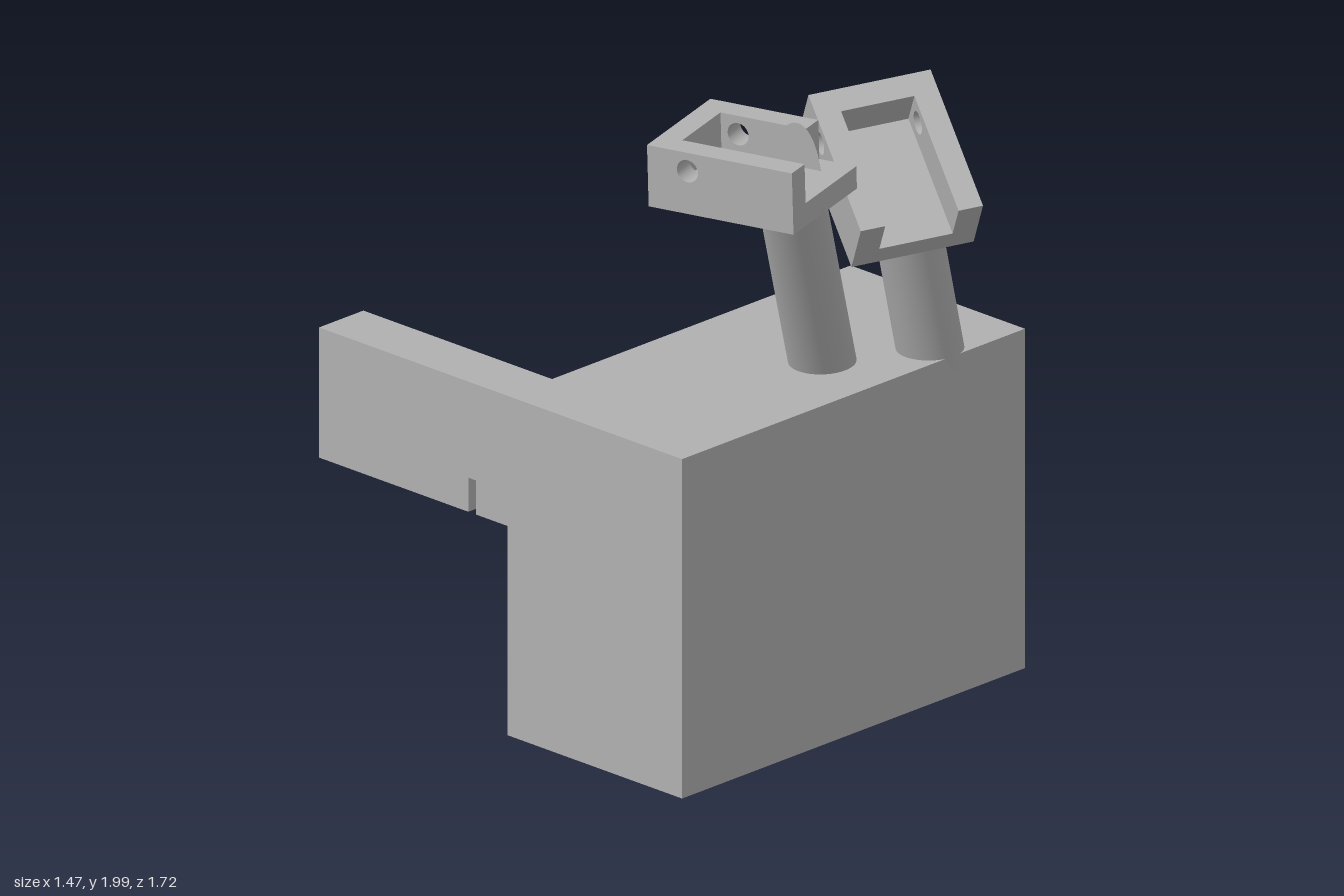
import * as THREE from 'three';

const V = (x, y, z) => new THREE.Vector3(x, y, z);
const CLAMP = { w: 0.39, h: 0.2, d: 0.497, wall: 0.078, floor: 0.073 };

export function createModel() {
  const grey = new THREE.MeshStandardMaterial({ color: 0xb0b0b0 });
  grey.name = 'plainGrey';
  const model = new THREE.Group();

  const add = (parent, name, geometry, x = 0, y = 0, z = 0) => {
    const mesh = new THREE.Mesh(geometry, grey);
    mesh.name = name;
    mesh.position.set(x, y, z);
    parent.add(mesh);
    return mesh;
  };
  // Box given by its lowest corner and its size
  const box = (parent, name, [x, y, z], [w, h, d]) =>
    add(parent, name, new THREE.BoxGeometry(w, h, d), x + w / 2, y + h / 2, z + d / 2);
  // Side profile in (z, y), extruded along x from 0 to thickness
  const sidePlate = (points, thickness, hole) => {
    const shape = new THREE.Shape(points.map(([z, y]) => new THREE.Vector2(z, y)));
    if (hole) shape.holes.push(new THREE.Path().absarc(hole[0], hole[1], hole[2], 0, Math.PI * 2, true));
    return new THREE.ExtrudeGeometry(shape, { depth: thickness, bevelEnabled: false, curveSegments: 24 })
      .rotateY(-Math.PI / 2).translate(thickness, 0, 0);
  };

  // Main block and the slotted arm behind it
  box(model, 'mainBlock', [-0.735, 0, -0.075], [1.47, 1.095, 0.73]);
  add(model, 'rearArm', sidePlate([
    [-0.865, 0.675], [-0.24, 0.675], [-0.24, 0.785], [-0.207, 0.785],
    [-0.207, 0.675], [-0.075, 0.675], [-0.075, 1.095], [-0.865, 1.095],
  ], 0.19), -0.735);

  // U-shaped clamp: corner is its bottom back corner, across and along are its edges
  const clamp = (name, corner, across, along, rightWallLength) => {
    const { w, h, d, wall, floor } = CLAMP;
    const zAxis = along.clone().normalize();
    const yAxis = zAxis.clone().cross(across).normalize();
    const xAxis = yAxis.clone().cross(zAxis);
    const group = new THREE.Group();
    group.name = name;
    group.quaternion.setFromRotationMatrix(new THREE.Matrix4().makeBasis(xAxis, yAxis, zAxis));
    group.position.copy(corner);
    const hole = [0.137, 0.14, 0.036];
    const full = [[0, 0], [d, 0], [d, h], [0, h]];
    const stepped = [[0, 0], [d, 0], [d, floor], [rightWallLength, floor], [rightWallLength, h], [0, h]];
    add(group, 'holedWall', sidePlate(full, wall, hole));
    add(group, 'holedWall', sidePlate(rightWallLength < d ? stepped : full, wall, hole), w - wall);
    box(group, 'clampFloor', [wall, 0, 0], [w - 2 * wall, floor, d]);
    box(group, 'clampBack', [wall, floor, 0], [w - 2 * wall, h - floor, wall]);
    model.add(group);
    // Planes through the middle of the floor and along the inner face of the right wall
    const at = (axis, dist) =>
      new THREE.Plane().setFromNormalAndCoplanarPoint(axis, corner.clone().addScaledVector(axis, dist));
    return { floorPlane: at(yAxis, floor / 2), wallPlane: at(xAxis, w - wall - 0.001) };
  };

  // Round post whose top is trimmed by the floor plane, and by a wall plane if given
  const post = (name, base, direction, floorPlane, wallPlane) => {
    const geometry = new THREE.CylinderGeometry(0.102, 0.102, 1, 64, 1, true).translate(0, 0.5, 0);
    const mesh = add(model, name, geometry, base.x, base.y, base.z);
    mesh.quaternion.setFromUnitVectors(V(0, 1, 0), direction.clone().normalize());
    mesh.updateMatrix();
    const inverse = mesh.matrix.clone().invert();
    const local = (plane) => plane && plane.clone().applyMatrix4(inverse);
    const [low, high] = [local(floorPlane), local(wallPlane)];
    const heightOn = (p, x, z) => -(p.constant + p.normal.x * x + p.normal.z * z) / p.normal.y;
    const pos = geometry.attributes.position;
    const rim = [];
    for (let i = 0; i < pos.count; i++) {
      const x = pos.getX(i), z = pos.getZ(i);
      if (pos.getY(i) < 0.5) {
        pos.setY(i, -0.1);
        continue;
      }
      const yLow = heightOn(low, x, z);
      const yHigh = high ? heightOn(high, x, z) : -1;
      pos.setY(i, Math.max(yLow, yHigh));
      if (yHigh > yLow) rim.push(V(x, yHigh, z));
    }
    if (rim.length < 3) return;
    // Flat cut face of the tongue left beside the pocket
    rim.sort((a, b) => a.clone().sub(b).dot(V(0, 0, 1).applyQuaternion(mesh.quaternion.clone().invert())));
    const inward = high.normal.clone().negate();
    const points = [];
    for (let i = 1; i < rim.length - 1; i++) {
      const tri = [rim[0], rim[i], rim[i + 1]];
      const n = rim[i].clone().sub(rim[0]).cross(rim[i + 1].clone().sub(rim[0]));
      if (n.dot(inward) < 0) tri.reverse();
      points.push(...tri);
    }
    const cut = new THREE.BufferGeometry().setFromPoints(points);
    cut.computeVertexNormals();
    const face = add(model, 'postCutFace', cut, base.x, base.y, base.z);
    face.quaternion.copy(mesh.quaternion);
  };

  const level = clamp('levelClamp', V(-0.53, 1.757, 0.315), V(0.375, 0.013, -0.1), V(0.13, 0.005, 0.48), 0.37);
  const tilted = clamp('tiltedClamp', V(0.215, 1.76, 0.217), V(0.35, 0.03, 0.17), V(-0.155, -0.29, 0.37), CLAMP.d);
  post('longPost', V(0.127, 1.095, 0.4), V(-0.43, 1, 0.22), level.floorPlane, level.wallPlane);
  post('shortPost', V(0.428, 1.095, 0.557), V(-0.295, 1, 0.075), tilted.floorPlane);

  return model;
}
